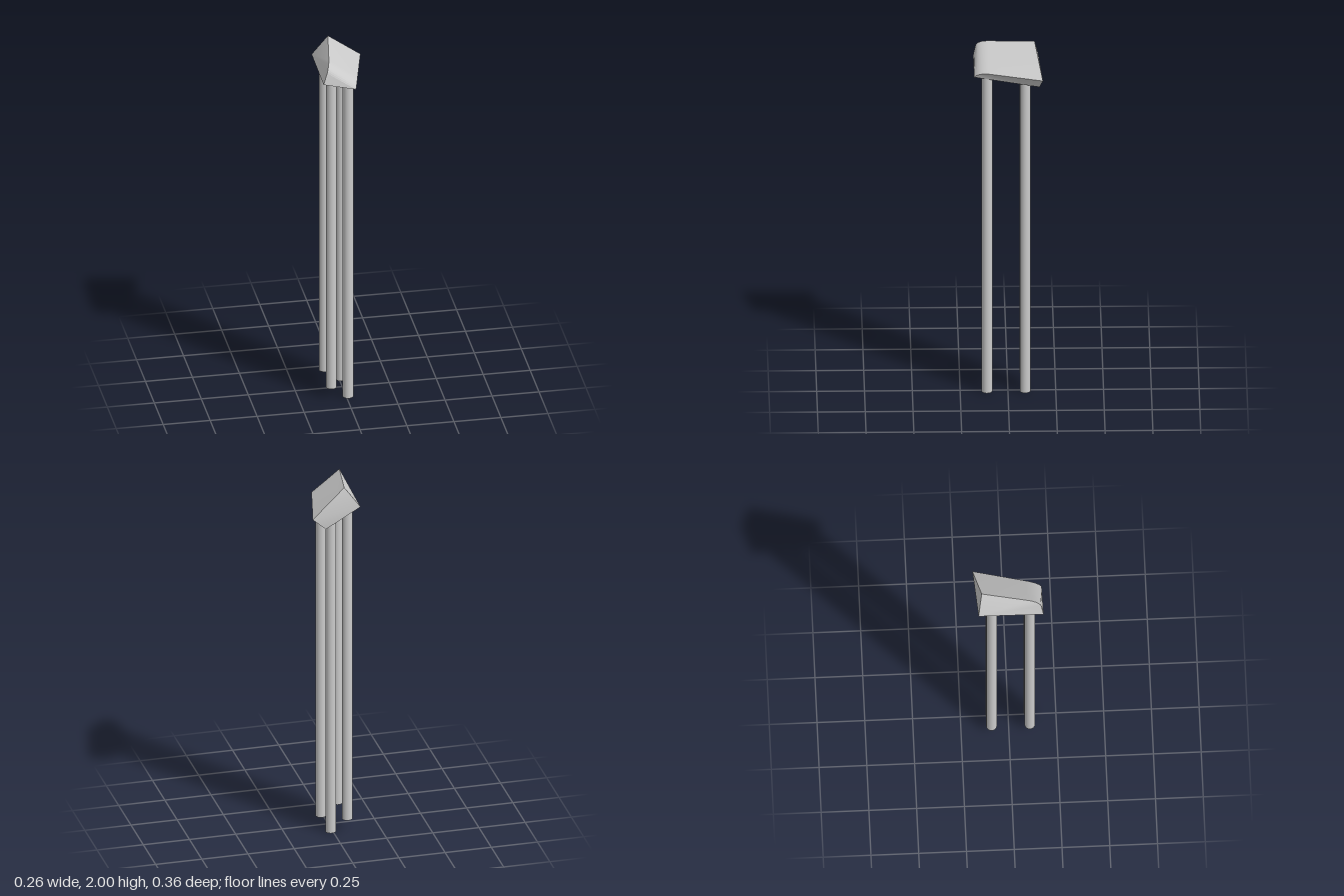
import * as THREE from 'three';
import { toCreasedNormals } from 'three/addons/utils/BufferGeometryUtils.js';

const material = new THREE.MeshStandardMaterial({ color: 0xcccccc });
const V = (x, y, z) => new THREE.Vector3(x, y, z);

// Slanted wedge: a top skin rolling over into the front edge, closed by flat faces
function wedgeGeometry() {
  const backLow = V(-0.133, 1.888, -0.16), backLowRight = V(0.056, 1.783, -0.165);
  const frontLow = V(-0.133, 1.88, 0.18), frontLowRight = V(0.04, 1.835, 0.177);

  // Straight run from the back, then a rounded nose down to the front edge
  const edge = (back, start, corner, tip, low) =>
    [back, ...new THREE.QuadraticBezierCurve3(start, corner, tip).getPoints(8), low];
  const left = edge(V(-0.05, 2, -0.14), V(-0.09, 1.984, 0.1),
    V(-0.102, 1.98, 0.165), V(-0.112, 1.94, 0.17), frontLow);
  const right = edge(V(0.131, 1.854, -0.181), V(0.065, 1.863, 0.09),
    V(0.052, 1.865, 0.147), V(0.042, 1.841, 0.172), frontLowRight);

  const points = [];
  const tri = (...corners) => corners.forEach((p) => points.push(p.x, p.y, p.z));
  const quad = (a, b, c, d) => { tri(a, b, c); tri(a, c, d); };
  for (let i = 0; i < left.length - 1; i++) {
    quad(left[i], left[i + 1], right[i + 1], right[i]); // top and nose
    if (i < left.length - 2) tri(backLow, left[i + 1], left[i]); // left-hand side
    if (i < right.length - 2) tri(backLowRight, right[i], right[i + 1]); // right-hand side
  }
  tri(backLow, frontLow, left[left.length - 2]);
  tri(backLowRight, right[right.length - 2], frontLowRight);
  quad(backLow, left[0], right[0], backLowRight); // back
  quad(backLow, backLowRight, frontLowRight, frontLow); // underside

  const geometry = new THREE.BufferGeometry();
  geometry.setAttribute('position', new THREE.Float32BufferAttribute(points, 3));
  return toCreasedNormals(geometry, 0.5);
}

export function createModel() {
  const model = new THREE.Group();

  const head = new THREE.Mesh(wedgeGeometry(), material);
  head.name = 'wedgeHead';
  model.add(head);

  // Two pairs of posts, the pair under the high side standing a little higher
  const rows = [
    { name: 'highSidePost', x: -0.079, bottom: 0.063, top: 1.9 },
    { name: 'lowSidePost', x: 0.01, bottom: 0, top: 1.865 },
  ];
  for (const { name, x, bottom, top } of rows) {
    for (const [place, z] of [['Front', 0.11], ['Back', -0.09]]) {
      const post = new THREE.Mesh(
        new THREE.CylinderGeometry(0.028, 0.028, top - bottom, 32), material);
      post.position.set(x, (top + bottom) / 2, z);
      post.name = name + place;
      model.add(post);
    }
  }
  return model;
}
